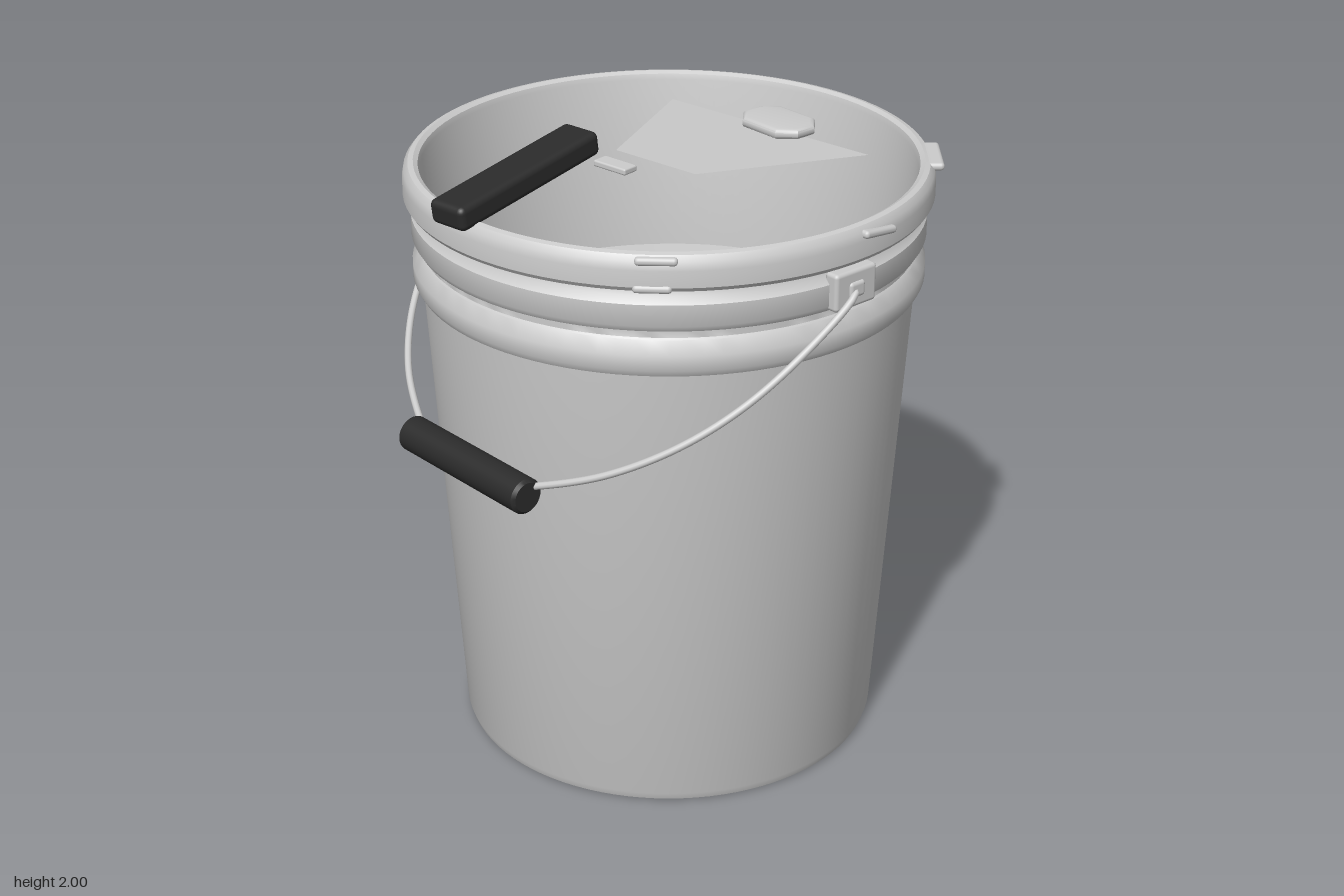
import * as THREE from 'three';
import { toCreasedNormals } from 'three/addons/utils/BufferGeometryUtils.js';
import { RoundedBoxGeometry } from 'three/addons/geometries/RoundedBoxGeometry.js';

const CZ = -0.024; // axis of the pail

export function createModel() {
  const model = new THREE.Group();
  model.name = 'pail';
  const grey = new THREE.MeshStandardMaterial({ color: 0xcccccc });
  const greyThin = new THREE.MeshStandardMaterial({ color: 0xcccccc, side: THREE.DoubleSide });
  const black = new THREE.MeshStandardMaterial({ color: 0x2b2b2b });

  const add = (name, geometry, material, x = 0, y = 0, z = 0) => {
    const mesh = new THREE.Mesh(geometry, material);
    mesh.name = name;
    mesh.position.set(x, y, z);
    model.add(mesh);
    return mesh;
  };

  // Shell: outside wall, two ribs, rolled lip, then down the inside
  const profile = [
    [0, 0], [0.632, 0], [0.647, 0.007], [0.655, 0.03],
    [0.745, 1.49], [0.762, 1.495], [0.773, 1.515], [0.773, 1.56], [0.75, 1.60],
    [0.745, 1.605], [0.745, 1.63], [0.762, 1.632], [0.773, 1.65], [0.773, 1.715],
    [0.755, 1.735], [0.75, 1.762], [0.785, 1.762], [0.794, 1.775], [0.794, 1.825],
    [0.789, 1.85], [0.776, 1.866], [0.76, 1.87], [0.746, 1.862], [0.741, 1.845],
    [0.705, 1.29], [0.63, 0.04], [0, 0.04],
  ].map(([r, y]) => new THREE.Vector2(r, y));
  const shell = new THREE.LatheGeometry(profile, 96);
  add('shell', toCreasedNormals(shell, 0.6), grey, 0, 0, CZ);

  // Contents: disc with soft folds fanning out from an off-centre point
  const fill = new THREE.RingGeometry(0, 0.712, 96, 16).rotateX(-Math.PI / 2);
  const p = fill.attributes.position;
  for (let i = 0; i < p.count; i++) {
    const x = p.getX(i), z = p.getZ(i);
    const dx = x + 0.15, dz = z - 0.1;
    const d = Math.hypot(dx, dz), a = Math.atan2(dz, dx);
    const folds = Math.sin(a * 5 + 4 * d) * 0.016 * Math.min(1, d * 4) * Math.exp(-2 * d);
    p.setY(i, folds + 0.008 * Math.sin(4 * x + 1) * Math.cos(5 * z));
  }
  fill.computeVertexNormals();
  add('contents', fill, greyThin, 0, 1.285, CZ);

  // Handle ears and wire ends
  for (const s of [1, -1]) {
    const side = s > 0 ? 'left' : 'right';
    add(side + 'Ear', new RoundedBoxGeometry(0.05, 0.115, 0.16, 2, 0.012), grey, s * 0.772, 1.692, CZ);
    add(side + 'EarStud', new RoundedBoxGeometry(0.03, 0.05, 0.06, 2, 0.012), grey, s * 0.79, 1.69, CZ);
    const path = [
      [0.785, 1.692], [0.805, 1.68], [0.794, 1.565], [0.735, 1.42],
      [0.63, 1.30], [0.47, 1.195], [0.28, 1.12], [0.2, 1.098],
    ].map(([x, y]) => new THREE.Vector3(s * x, y, CZ + (1.69 - y) * 1.31));
    add(side + 'HandleWire', new THREE.TubeGeometry(new THREE.CatmullRomCurve3(path), 48, 0.011, 10), grey);
  }

  // Handle grip with softened ends
  const gripProfile = [
    [0, -0.278], [0.045, -0.278], [0.055, -0.268], [0.055, 0.268], [0.045, 0.278], [0, 0.278],
  ].map(([r, y]) => new THREE.Vector2(r, y));
  const grip = new THREE.LatheGeometry(gripProfile, 32).rotateZ(Math.PI / 2);
  add('handleGrip', toCreasedNormals(grip, 0.6), black, 0, 1.094, 0.757);

  // Loose black bar over the front rim
  const near = new THREE.Vector3(0.006, 1.888, 0.805);
  const far = new THREE.Vector3(-0.07, 1.964, 0.25);
  const bar = add('topBar', new RoundedBoxGeometry(0.132, 0.075, near.distanceTo(far) + 0.01, 3, 0.02), black);
  bar.position.copy(near).lerp(far, 0.5);
  bar.lookAt(near);

  // Small block behind the bar
  const block = add('smallBlock', new RoundedBoxGeometry(0.125, 0.02, 0.055, 2, 0.006), grey, 0.013, 1.889, 0.197);
  block.rotation.y = 0.13;

  // Thin four-sided sheet
  const sheet = new THREE.BufferGeometry();
  sheet.setAttribute('position', new THREE.Float32BufferAttribute([
    -0.326, 1.882, -0.326, -0.026, 1.917, 0.16, 0.274, 1.917, 0.117, 0.426, 1.882, -0.435,
  ], 3));
  sheet.setIndex([0, 1, 2, 0, 2, 3]);
  sheet.computeVertexNormals();
  add('thinSheet', sheet, greyThin);

  // Cut-corner tab lying above the sheet
  const w = 0.105, h = 0.068, c = 0.04;
  const tabShape = new THREE.Shape([
    [-w + c, -h], [w - c, -h], [w, -h + c], [w, h - c],
    [w - c, h], [-w + c, h], [-w, h - c], [-w, -h + c],
  ].map(([x, y]) => new THREE.Vector2(x, y)));
  const tab = new THREE.ExtrudeGeometry(tabShape, {
    depth: 0.012, bevelThickness: 0.01, bevelSize: 0.015, bevelSegments: 3,
  }).rotateX(-Math.PI / 2);
  add('topTab', toCreasedNormals(tab, 0.7), grey, 0.1, 1.902, -0.378);

  // Little lugs set into the lip: x, y, z, length, tilt
  [
    [0.555, 1.85, 0.51, 0.12, 0],
    [0.55, 1.77, 0.52, 0.11, 0],
    [0.515, 1.857, -0.62, 0.19, 0],
    [0.775, 1.835, -0.115, 0.14, -0.15],
    [-0.5, 1.835, -0.605, 0.14, -0.15],
  ].forEach(([x, y, z, length, tilt], i) => {
    const lug = add('rimLug' + (i + 1), new RoundedBoxGeometry(length, 0.024, 0.05, 2, 0.011), grey, x, y, z);
    lug.rotation.order = 'YXZ';
    lug.rotation.set(0, Math.atan2(x, z - CZ), tilt);
  });

  return model;
}
